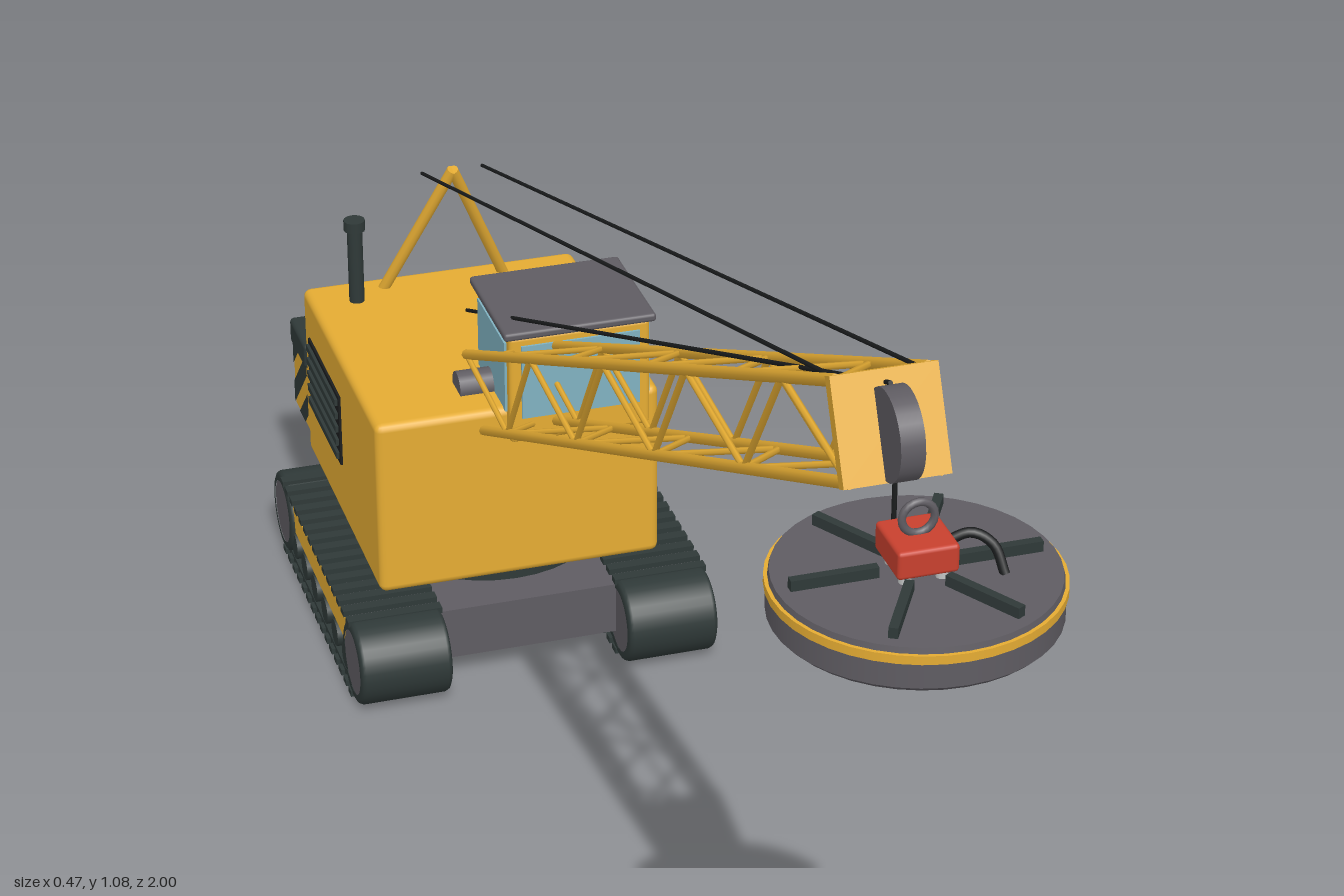
import * as THREE from 'three';
import { RoundedBoxGeometry } from 'three/addons/geometries/RoundedBoxGeometry.js';

const mat = (name, color) => Object.assign(new THREE.MeshStandardMaterial({ color }), { name });
const yellow = mat('machine yellow', 0xe5ac33);
const grey = mat('steel grey', 0x5f5c62);
const dark = mat('dark rubber', 0x2f3938);
const black = mat('black cable', 0x1b1d1e);
const glass = mat('window glass', 0x80b2c1);
const red = mat('hook red', 0xc8402e);
const pale = mat('pale metal', 0xc4c6c6);

const V = (x, y, z) => new THREE.Vector3(x, y, z);

function add(parent, name, geo, material, x = 0, y = 0, z = 0) {
  const m = new THREE.Mesh(geo, material);
  m.name = name;
  m.position.set(x, y, z);
  parent.add(m);
  return m;
}
// box given by its extents on each axis
function box(parent, name, material, [x0, x1], [y0, y1], [z0, z1], round = 0) {
  const s = [x1 - x0, y1 - y0, z1 - z0];
  const geo = round ? new RoundedBoxGeometry(...s, 2, round) : new THREE.BoxGeometry(...s);
  return add(parent, name, geo, material, (x0 + x1) / 2, (y0 + y1) / 2, (z0 + z1) / 2);
}
// cylinder between two points
function rod(parent, name, material, a, b, r, sides = 8) {
  const d = b.clone().sub(a);
  const c = a.clone().add(b).multiplyScalar(0.5);
  const m = add(parent, name, new THREE.CylinderGeometry(r, r, d.length(), sides), material, c.x, c.y, c.z);
  m.quaternion.setFromUnitVectors(V(0, 1, 0), d.normalize());
  return m;
}
function group(parent, name) {
  const g = new THREE.Group();
  g.name = name;
  parent.add(g);
  return g;
}

// crawler track: smooth end drums, straight belt runs and shoes
const TZ0 = -0.87, TZ1 = -0.475, TY = 0.055;
function buildTrack(parent, side) {
  const g = group(parent, side > 0 ? 'leftTrack' : 'rightTrack');
  const cx = side * 0.175, w = 0.118, hw = w / 2;
  const drum = new THREE.LatheGeometry([
    [0.042, -hw], [0.049, -hw], [0.053, -hw + 0.002], [0.055, -hw + 0.006],
    [0.055, hw - 0.006], [0.053, hw - 0.002], [0.049, hw], [0.042, hw],
  ].map(p => new THREE.Vector2(...p)), 32).rotateZ(Math.PI / 2);
  for (const z of [TZ0, TZ1]) {
    add(g, 'endDrum', drum, dark, cx, TY, z);
    rod(g, 'endWheel', grey, V(cx - 0.058, TY, z), V(cx + 0.058, TY, z), 0.043, 28);
  }
  box(g, 'upperBelt', grey, [cx - 0.054, cx + 0.054], [0.094, 0.104], [TZ0, TZ1]);
  box(g, 'lowerBelt', dark, [cx - 0.056, cx + 0.056], [0.003, 0.013], [TZ0, TZ1]);
  const n = 15, shoe = new THREE.BoxGeometry(0.122, 0.008, 0.015);
  for (let i = 0; i < n; i++) {
    const z = TZ0 + (i + 0.5) * (TZ1 - TZ0) / n;
    for (const y of [0.004, 0.107]) add(g, 'trackShoe', shoe, dark, cx, y, z);
  }
  box(g, 'trackFrame', yellow, [cx - 0.054, cx + 0.054], [0.052, 0.087], [-0.86, -0.485]);
  for (let i = 0; i < 6; i++) {
    const z = -0.815 + i * 0.057;
    rod(g, 'roller', dark, V(cx - 0.056, 0.032, z), V(cx + 0.056, 0.032, z), 0.018, 12);
  }
}

// diagonal stripes clipped to a w by h panel
function stripes(parent, w, h, pitch, place) {
  const clip = (pts, lim, sign) => pts.flatMap((p, i) => {
    const q = pts[(i + 1) % pts.length];
    const inP = sign * (p[0] - lim) <= 0, inQ = sign * (q[0] - lim) <= 0;
    const t = (lim - p[0]) / (q[0] - p[0]);
    const out = inP ? [p] : [];
    if (inP !== inQ) out.push([lim, p[1] + t * (q[1] - p[1])]);
    return out;
  });
  for (let s = -w / 2 - h; s < w / 2; s += pitch) {
    let pts = [[s, -h / 2], [s + pitch * 0.55, -h / 2], [s + pitch * 0.55 + h, h / 2], [s + h, h / 2]];
    pts = clip(clip(pts, w / 2, 1), -w / 2, -1);
    if (pts.length < 3) continue;
    const shape = new THREE.Shape(pts.map(p => new THREE.Vector2(p[0], p[1])));
    place(add(parent, 'warningStripe', new THREE.ShapeGeometry(shape), dark));
  }
}

function buildHouse(parent) {
  const g = group(parent, 'house');
  box(g, 'engineHouse', yellow, [-0.184, 0.184], [0.121, 0.362], [-0.915, -0.518], 0.01);
  // side louvres
  box(g, 'louvrePanel', black, [-0.187, -0.182], [0.205, 0.305], [-0.88, -0.71]);
  for (let i = 0; i < 5; i++) {
    const y = 0.216 + i * 0.0195;
    box(g, 'louvre', dark, [-0.191, -0.185], [y - 0.004, y + 0.005], [-0.875, -0.715]);
  }
  // counterweight
  box(g, 'counterweight', yellow, [-0.182, 0.182], [0.148, 0.242], [-0.997, -0.91]);
  box(g, 'counterweightCap', dark, [-0.186, 0.186], [0.24, 0.276], [-1, -0.912], 0.006);
  stripes(g, 0.364, 0.092, 0.06, m => { m.position.set(0, 0.195, -0.9985); m.rotation.y = Math.PI; });
  for (const s of [1, -1]) stripes(g, 0.082, 0.092, 0.06, m => {
    m.position.set(s * 0.1835, 0.195, -0.955);
    m.rotation.y = s * Math.PI / 2;
  });
  // exhaust
  rod(g, 'exhaustPipe', dark, V(-0.124, 0.355, -0.858), V(-0.124, 0.47, -0.858), 0.01, 14);
  rod(g, 'exhaustTip', dark, V(-0.124, 0.465, -0.858), V(-0.124, 0.479, -0.858), 0.014, 14);
  // winch
  rod(g, 'winchDrum', grey, V(-0.062, 0.366, -0.585), V(-0.015, 0.366, -0.585), 0.02, 16);
  // rear gantry
  for (const s of [1, -1]) rod(g, 'gantryLeg', yellow, V(s * 0.083, 0.355, -0.888), V(0, 0.549, -0.823), 0.0075, 10);
}

function buildCab(parent) {
  const g = group(parent, 'cab');
  box(g, 'cabShell', yellow, [-0.015, 0.167], [0.32, 0.468], [-0.655, -0.502], 0.006);
  box(g, 'cabRoof', grey, [-0.022, 0.174], [0.466, 0.477], [-0.665, -0.497], 0.004);
  box(g, 'frontWindow', glass, [0, 0.153], [0.355, 0.456], [-0.505, -0.499]);
  for (const x of [-0.015, 0.167]) box(g, 'sideWindow', glass, [x - 0.003, x + 0.003], [0.36, 0.456], [-0.642, -0.515]);
}

function buildBoom(parent) {
  const g = group(parent, 'boom');
  const foot = V(0, 0.318, -0.555), tip = V(0, 0.985, 0.8);
  const up = V(0, tip.z - foot.z, foot.y - tip.y).normalize().multiplyScalar(0.095);
  const bays = 9, half = 0.045;
  // node i on the chord at side s; level 0 is the lower chord, 1 the upper
  const node = (i, s, level) => foot.clone().lerp(tip, i / bays).addScaledVector(up, level).setX(s * half);
  for (const s of [1, -1]) for (const level of [0, 1])
    rod(g, 'chord', yellow, node(0, s, level), node(bays, s, level), 0.0065);
  for (let i = 0; i < bays; i++) {
    const e = i % 2;
    for (const s of [1, -1]) rod(g, 'sideBrace', yellow, node(i, s, 1 - e), node(i + 1, s, e), 0.0036, 6);
    for (const level of [0, 1]) rod(g, 'crossBrace', yellow, node(i, e ? -1 : 1, level), node(i + 1, e ? 1 : -1, level), 0.0036, 6);
  }
  // head plate and sheave
  const mid = tip.clone().addScaledVector(up, 0.5);
  const head = add(g, 'headPlate', new THREE.BoxGeometry(0.106, 0.105, 0.014), yellow, mid.x, mid.y, mid.z);
  head.rotation.x = Math.atan2(up.z, up.y);
  rod(g, 'sheave', grey, V(-0.012, 1.03, 0.8), V(0.012, 1.03, 0.8), 0.045, 28);
  // cables
  for (const s of [1, -1]) rod(g, 'pendantCable', black, V(s * 0.04, 0.549, -0.825), V(s * 0.04, 1.07, 0.76), 0.0025, 6);
  rod(g, 'hoistCable', black, V(0, 0.375, -0.765), V(0, 1.072, 0.78), 0.0025, 6);
  rod(g, 'powerCable', black, V(0, 0.99, 0.8), V(0, 0.925, 0.8), 0.0025, 6);
}

function buildMagnet(parent) {
  const g = group(parent, 'magnet');
  g.position.set(0, 0, 0.862);
  const lathe = (name, material, pts) =>
    add(g, name, new THREE.LatheGeometry(pts.map(p => new THREE.Vector2(...p)), 40), material);
  lathe('magnetFace', dark, [[0, 0.879], [0.11, 0.879], [0.116, 0.875], [0.133, 0.875]]);
  lathe('magnetRim', grey, [[0.133, 0.875], [0.138, 0.88], [0.138, 0.88], [0.138, 0.908]]);
  lathe('magnetBand', yellow, [[0.136, 0.906], [0.14, 0.906], [0.14, 0.906], [0.14, 0.915], [0.14, 0.915], [0.136, 0.915]]);
  add(g, 'magnetTop', new THREE.CylinderGeometry(0.135, 0.138, 0.014, 40), grey, 0, 0.914, 0);
  for (let i = 0; i < 6; i++) {
    const a = i * Math.PI / 3;
    const rib = add(g, 'magnetRib', new THREE.BoxGeometry(0.085, 0.012, 0.009), dark, Math.cos(a) * 0.08, 0.926, Math.sin(a) * 0.08);
    rib.rotation.y = -a;
  }
  // hook block, ring and hose
  for (const x of [-0.018, 0.018]) for (const z of [-0.018, 0.018])
    add(g, 'blockFoot', new THREE.CylinderGeometry(0.006, 0.006, 0.014, 10), pale, x, 0.926, z);
  box(g, 'hookBlock', red, [-0.03, 0.03], [0.931, 0.96], [-0.032, 0.032], 0.004);
  add(g, 'hookRing', new THREE.TorusGeometry(0.016, 0.004, 8, 20), grey, 0, 0.976, 0);
  const hose = new THREE.CatmullRomCurve3([V(0.025, 0.945, 0), V(0.05, 0.955, 0.006), V(0.068, 0.945, 0.016), V(0.075, 0.92, 0.03)]);
  add(g, 'powerHose', new THREE.TubeGeometry(hose, 16, 0.005, 8), black);
}

export function createModel() {
  const model = new THREE.Group();
  model.name = 'magnetCrane';
  for (const s of [1, -1]) buildTrack(model, s);
  box(model, 'undercarriage', grey, [-0.125, 0.125], [0.03, 0.1], [-0.86, -0.488]);
  add(model, 'turntable', new THREE.CylinderGeometry(0.15, 0.15, 0.026, 36), dark, 0, 0.111, -0.69);
  buildHouse(model);
  buildCab(model);
  buildBoom(model);
  buildMagnet(model);
  return model;
}
